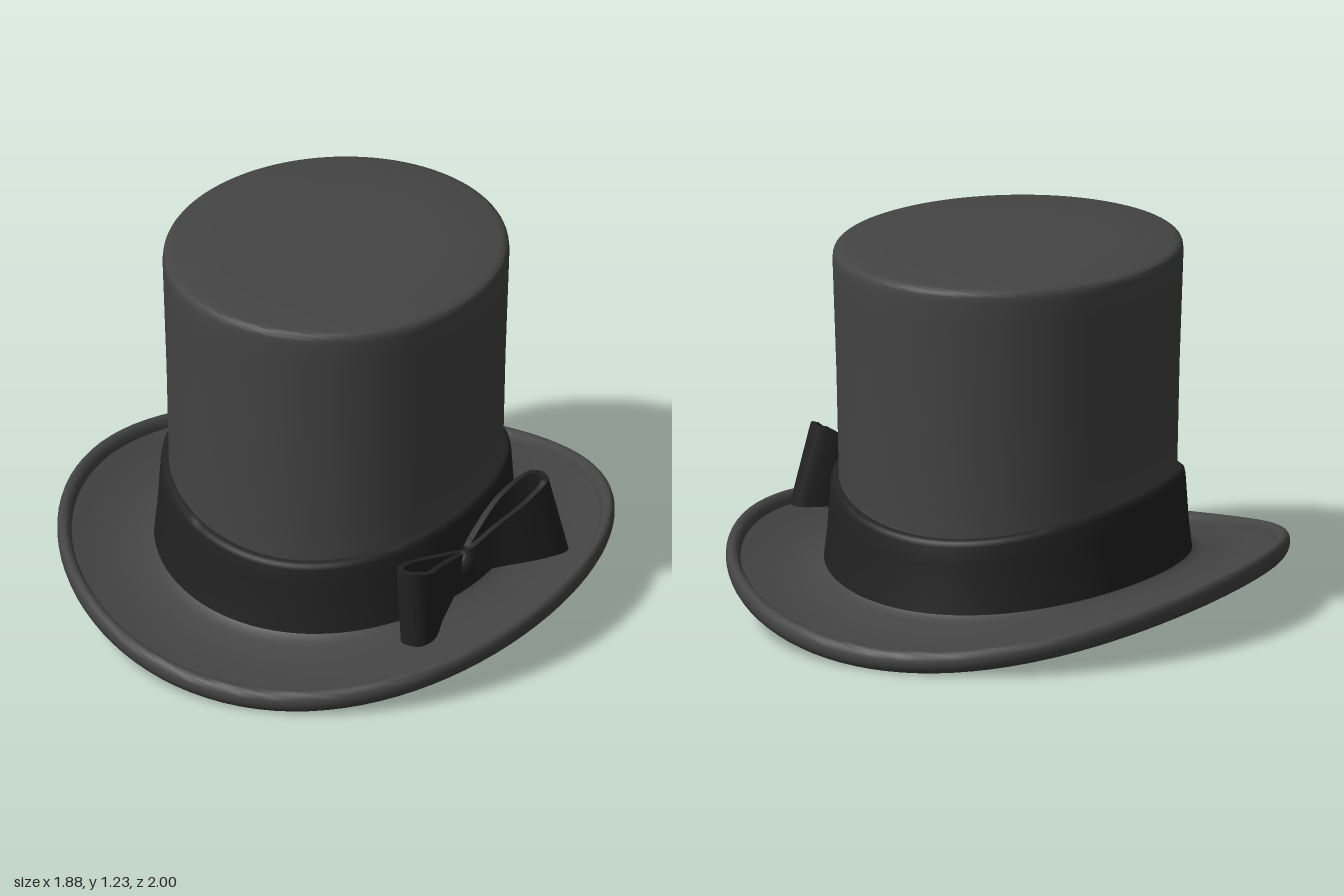
import * as THREE from 'three';
import { toCreasedNormals } from 'three/addons/utils/BufferGeometryUtils.js';

const felt = new THREE.MeshStandardMaterial({ color: 0x444444 });
const ribbon = new THREE.MeshStandardMaterial({ color: 0x222222 });
const HALF_WIDTH = 0.911, HALF_LENGTH = 1.026;

const v2 = ([x, y]) => new THREE.Vector2(x, y);
const smooth = (pts, n) => new THREE.SplineCurve(pts.map(v2)).getPoints(n);

// Oval lathe whose sides are raised by lift(radius, height)
function ovalLathe(name, profile, material, lift) {
  const geo = new THREE.LatheGeometry(profile, 96);
  const p = geo.attributes.position;
  for (let i = 0; i < p.count; i++) {
    const x = p.getX(i), y = p.getY(i), z = p.getZ(i);
    const r = Math.hypot(x, z);
    const side = r > 1e-5 ? (x / r) ** 2 : 0;
    p.setXYZ(i, x * HALF_WIDTH, y + side * lift(r, y), z * HALF_LENGTH);
  }
  const mesh = new THREE.Mesh(toCreasedNormals(geo, 0.75), material);
  mesh.name = name;
  return mesh;
}

// Bow loop: a closed ribbon that follows a plan outline and widens away from the knot
function bowLoop(name, outline, knot, rise, shear) {
  const N = 64, half = 0.011;
  const curve = new THREE.CatmullRomCurve3(
    outline.map(([x, z]) => new THREE.Vector3(x, 0, z)), true);
  const pos = [], idx = [];
  for (let i = 0; i < N; i++) {
    const c = curve.getPoint(i / N), t = curve.getTangent(i / N);
    const k = Math.min(1, Math.hypot(c.x - knot.x, c.z - knot.z) / 0.34);
    const h = 0.04 + 0.095 * k, y = knot.y + rise * k;
    for (const [o, u] of [[-1, -1], [1, -1], [1, 1], [-1, 1]]) {
      pos.push(c.x + t.z * o * half + shear * u * h * k, y + u * h, c.z - t.x * o * half);
    }
    for (let j = 0; j < 4; j++) {
      const a = i * 4 + j, b = i * 4 + (j + 1) % 4;
      const n = ((i + 1) % N) * 4;
      const d = n + j, e = n + (j + 1) % 4;
      idx.push(a, b, d, b, e, d);
    }
  }
  const geo = new THREE.BufferGeometry();
  geo.setAttribute('position', new THREE.Float32BufferAttribute(pos, 3));
  geo.setIndex(idx);
  const mat = ribbon.clone();
  mat.side = THREE.DoubleSide;
  const mesh = new THREE.Mesh(toCreasedNormals(geo, 0.8), mat);
  mesh.name = name;
  return mesh;
}

export function createModel() {
  const hat = new THREE.Group();
  hat.name = 'topHat';

  // Crown and brim shell: inside, underside, rolled hem, top of brim, outer wall
  const hem = [];
  for (let i = 0; i <= 14; i++) {
    const a = -Math.PI * 0.6 + (Math.PI * 1.35 * i) / 14;
    hem.push(v2([0.972 + Math.cos(a) * 0.028, 0.04 + Math.sin(a) * 0.038]));
  }
  const shell = [
    ...[[0, 1.19], [0.57, 1.185], [0.592, 1.16], [0.582, 0.8], [0.578, 0.4]].map(v2),
    ...smooth([[0.578, 0.3], [0.585, 0.19], [0.62, 0.11], [0.7, 0.06], [0.82, 0.028], [0.95, 0.012]], 24),
    ...hem,
    ...smooth([[0.948, 0.05], [0.82, 0.062], [0.72, 0.085], [0.65, 0.12], [0.61, 0.19], [0.6, 0.3]], 24),
    ...[[0.601, 0.5], [0.608, 0.8], [0.619, 1.1]].map(v2),
    ...smooth([[0.622, 1.18], [0.619, 1.203], [0.608, 1.216], [0.585, 1.222]], 9),
    ...[[0.4, 1.226], [0, 1.228]].map(v2),
  ];
  const body = new THREE.Group();
  body.name = 'hatBody';
  body.rotation.y = THREE.MathUtils.degToRad(-29);
  body.add(ovalLathe('crownAndBrim', shell, felt, (r, y) =>
    0.17 * r ** 2.5 * (1 - THREE.MathUtils.smoothstep(y, 0.15, 0.6))));

  // Ribbon band around the foot of the crown
  const band = [
    [0.64, 0.09], [0.655, 0.1], [0.65, 0.14], [0.641, 0.2], [0.634, 0.28],
    [0.629, 0.34], [0.625, 0.355], [0.615, 0.362], [0.595, 0.362],
  ].map(v2);
  body.add(ovalLathe('hatBand', band, ribbon, (r, y) => 0.05 + 0.19 * (y - 0.1)));
  hat.add(body);

  // Bow
  const knotAt = new THREE.Vector3(0.3, 0.275, 0.55);
  const bow = new THREE.Group();
  bow.name = 'bow';
  bow.add(bowLoop('bowRightLoop',
    [[0.29, 0.545], [0.17, 0.62], [0.07, 0.7], [0.035, 0.77], [0.07, 0.805], [0.12, 0.795], [0.17, 0.72], [0.24, 0.62]],
    knotAt, -0.01, -0.05));
  bow.add(bowLoop('bowLeftLoop',
    [[0.31, 0.54], [0.39, 0.46], [0.48, 0.405], [0.57, 0.385], [0.625, 0.4], [0.63, 0.455], [0.56, 0.49], [0.42, 0.515]],
    knotAt, 0.09, -0.25));
  const knot = new THREE.Mesh(new THREE.SphereGeometry(1, 24, 16), ribbon);
  knot.name = 'bowKnot';
  knot.scale.set(0.038, 0.05, 0.038);
  knot.position.copy(knotAt);
  bow.add(knot);
  hat.add(bow);

  return hat;
}
